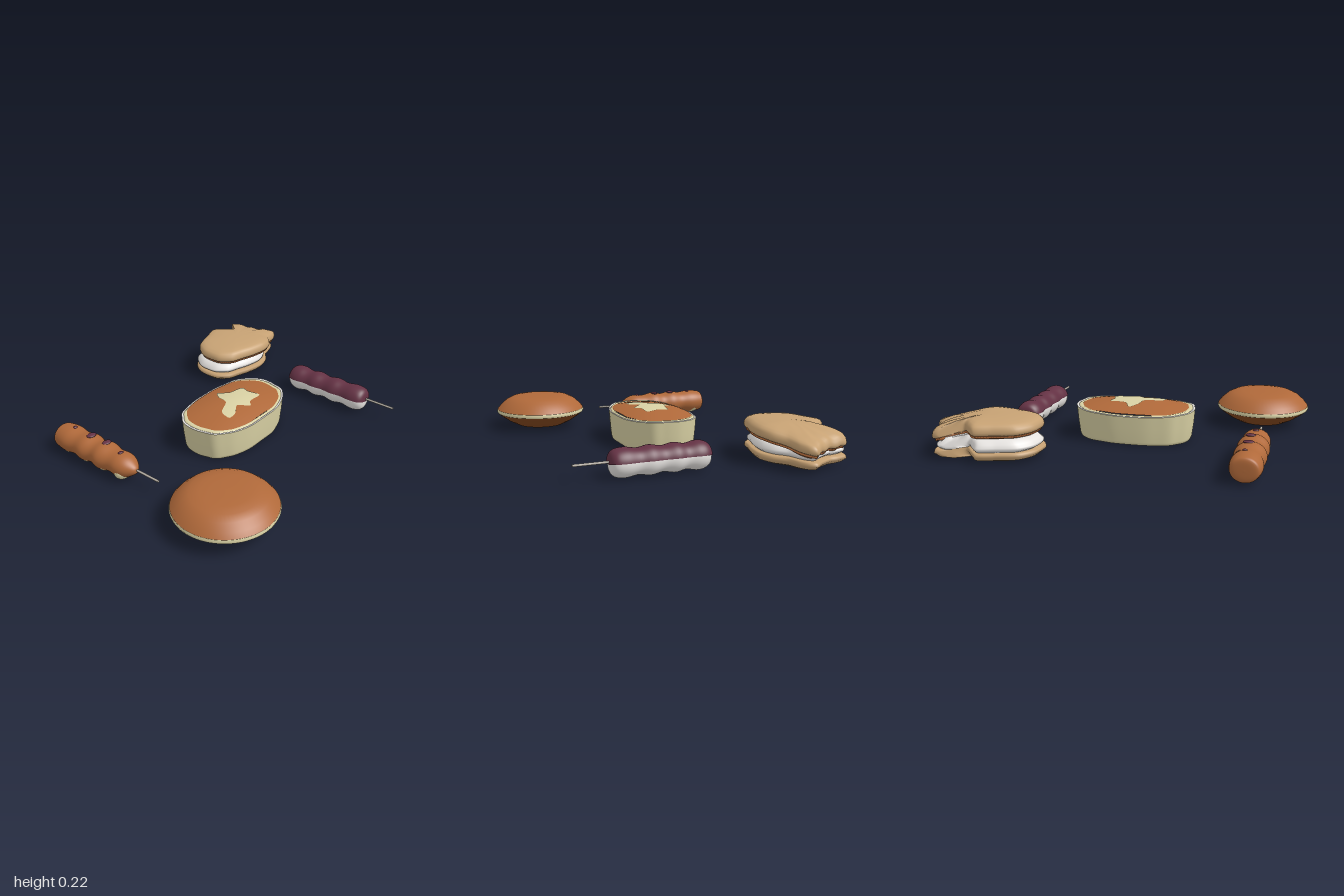
import * as THREE from 'three';
import { mergeVertices } from 'three/addons/utils/BufferGeometryUtils.js';

const mat = (name, color, side = THREE.FrontSide) => {
  const m = new THREE.MeshStandardMaterial({ color, side });
  m.name = name;
  return m;
};

// Closed smooth outline through [x, z] points, ordered so stacked rings face outward
function smoothOutline(points, n = 120) {
  const curve = new THREE.CatmullRomCurve3(points.map(([x, z]) => new THREE.Vector3(x, 0, z)), true, 'catmullrom', 0.4);
  const out = curve.getPoints(n).slice(0, n).map(p => new THREE.Vector2(p.x, p.z));
  return THREE.ShapeUtils.area(out) > 0 ? out.reverse() : out;
}

// Skin over copies of an outline, each level being [scale, y], from bottom to top
function ringStack(outline, levels, [cx, cz], deform) {
  const n = outline.length, pos = [], idx = [];
  levels.forEach(([s, y]) => outline.forEach(p => {
    const x = cx + (p.x - cx) * s, z = cz + (p.y - cz) * s;
    pos.push(x, deform ? deform(x, y, z) : y, z);
  }));
  for (let l = 0; l < levels.length - 1; l++) {
    for (let i = 0; i < n; i++) {
      const a = l * n + i, b = l * n + (i + 1) % n;
      idx.push(a, b, a + n, b, b + n, a + n);
    }
  }
  let g = new THREE.BufferGeometry();
  g.setAttribute('position', new THREE.Float32BufferAttribute(pos, 3));
  g.setIndex(idx);
  g = mergeVertices(g, 1e-5);
  g.computeVertexNormals();
  return g;
}

const profile = pts => pts.map(([r, y]) => new THREE.Vector2(r, y));

export function createModel() {
  const root = new THREE.Group();
  const brown = mat('toasted brown', 0xb0693a);
  const darkBrown = mat('deep brown', 0x86491f);
  const cream = mat('cream', 0xd9d1a4);
  const tan = mat('waffle tan', 0xc7a274);
  const white = mat('rice white', 0xe6e3e0);
  const maroon = mat('bean maroon', 0x643244, THREE.DoubleSide);
  const wood = mat('skewer grey', 0xb9b2a8);

  const group = name => {
    const g = new THREE.Group();
    g.name = name;
    root.add(g);
    return g;
  };
  const add = (parent, name, geo, material, x = 0, y = 0, z = 0) => {
    const m = new THREE.Mesh(geo, material);
    m.name = name;
    m.position.set(x, y, z);
    parent.add(m);
    return m;
  };

  // Round filled pancake
  const pancake = group('pancakeSandwich');
  [['lowerPancake', darkBrown, [[0, 0.01], [0.09, 0.012], [0.15, 0.024], [0.21, 0.055], [0.255, 0.087], [0.277, 0.106]]],
    ['pancakeEdge', cream, [[0.277, 0.106], [0.281, 0.116], [0.276, 0.128]]],
    ['upperPancake', brown, [[0.276, 0.128], [0.255, 0.153], [0.22, 0.184], [0.18, 0.203], [0.13, 0.211], [0.07, 0.214], [0, 0.215]]],
  ].forEach(([name, m, pts]) => add(pancake, name, new THREE.LatheGeometry(profile(pts), 64), m, -0.72, 0, 0.485));

  // Oval cake in a paper cup
  const cake = group('ovalCake');
  const C = [-0.032, -0.02], A = 0.352, B = 0.22, P = 2.5;
  const oval = [];
  for (let i = 0; i < 120; i++) {
    const t = i / 120 * Math.PI * 2, c = Math.cos(t), s = Math.sin(t);
    const k = 1 + 0.007 * Math.sin(t * 9) + 0.005 * Math.sin(t * 14 + 1);
    oval.push(new THREE.Vector2(
      C[0] + A * k * Math.sign(c) * Math.abs(c) ** (2 / P),
      C[1] - B * k * Math.sign(s) * Math.abs(s) ** (2 / P)));
  }
  const domeY = (x, z) => {
    const s = (Math.abs((x - C[0]) / A) ** P + Math.abs((z - C[1]) / B) ** P) ** (1 / P);
    return 0.182 + 0.041 * (1 - s * s);
  };
  const rimY = (x, y) => y + (y > 0.15 ? 0.012 * ((x - C[0]) / A) ** 2 : 0);
  add(cake, 'paperCup', ringStack(oval, [[0, 0.01], [0.86, 0.01], [0.93, 0.013], [0.95, 0.03], [0.98, 0.11], [1, 0.18]], C, rimY), cream);
  add(cake, 'paperRim', ringStack(oval, [[1, 0.18], [0.985, 0.185], [0.96, 0.181]], C, rimY), white);
  add(cake, 'cakeEdge', ringStack(oval, [[0.96, 0.181], [0.93, 0.188], [0.89, 0.186]], C, rimY), cream);
  add(cake, 'cakeTop', ringStack(oval, [0.915, 0.8, 0.65, 0.5, 0.35, 0.18, 0].map(s => [s, 0]), C,
    (x, y, z) => domeY(x, z) + 0.003), brown);

  // Pale splash on the cake top
  const splash = smoothOutline([[-0.025, -0.15], [0.015, -0.09], [0.11, -0.07], [0.1, -0.015], [0.115, 0.06], [0.02, 0.065],
    [-0.02, 0.095], [-0.075, 0.04], [-0.14, 0.08], [-0.195, 0.08], [-0.18, 0.015], [-0.09, -0.03], [-0.07, -0.1]]);
  add(cake, 'cakeSplash', ringStack(splash, [1, 0.8, 0.6, 0.4, 0.2, 0].map(s => [s, 0]), [-0.02, 0],
    (x, y, z) => domeY(x, z) + 0.007), cream);

  // Fish-shaped waffle sandwich
  const fish = group('fishWaffle');
  const F = [0.65, -0.55];
  const fishPts = [[1.0, -0.5], [0.98, -0.465], [0.93, -0.44], [0.85, -0.415], [0.78, -0.362], [0.69, -0.335], [0.58, -0.35],
    [0.5, -0.375], [0.42, -0.4], [0.362, -0.475], [0.367, -0.6], [0.43, -0.69], [0.55, -0.735], [0.645, -0.765],
    [0.7, -0.715], [0.752, -0.66], [0.81, -0.715], [0.86, -0.757], [0.9, -0.745], [0.92, -0.68], [0.925, -0.63], [0.965, -0.55]];
  const fishAt = (dx, dz) => smoothOutline(fishPts.map(([x, z]) => [x + dx, z + dz]), 160);
  const droop = (x, y, z) => {
    const t = THREE.MathUtils.smoothstep(x, 0.68, 1.0);
    return y - 0.05 * t + 0.004 * t * Math.sin((z + 0.5 * x) * 70);
  };
  add(fish, 'lowerShell', ringStack(fishAt(-0.015, -0.015),
    [[0, 0.01], [0.5, 0.011], [0.75, 0.016], [0.92, 0.03], [1, 0.05], [0.99, 0.064], [0.95, 0.072], [0.7, 0.075], [0, 0.075]], [F[0] - 0.015, F[1] - 0.015]), tan);
  add(fish, 'creamFilling', ringStack(fishAt(-0.02, -0.02),
    [[0, 0.07], [0.86, 0.07], [0.94, 0.085], [0.95, 0.1], [0.88, 0.115], [0.8, 0.14], [0, 0.15]], [F[0] - 0.02, F[1] - 0.02],
    (x, y, z) => y - (y > 0.1 ? 0.3 * (0.16 - droop(x, 0.16, z)) : 0)), white);
  add(fish, 'toastedInside', ringStack(fishAt(0, 0),
    [[0, 0.137], [0.85, 0.14], [0.945, 0.148], [0.945, 0.163], [0, 0.163]], F, droop), brown);
  add(fish, 'upperShell', ringStack(fishAt(0, 0),
    [[0, 0.16], [0.95, 0.16], [0.99, 0.166], [1, 0.18], [0.985, 0.198], [0.94, 0.212], [0.85, 0.221], [0.7, 0.227], [0.4, 0.231], [0, 0.232]], F, droop), tan);

  // Lumpy dumpling row lying along z
  const dumplings = (pts, phi0, len) => {
    const curve = new THREE.SplineCurve(profile(pts));
    const smooth = curve.getPoints(70).map(p => new THREE.Vector2(Math.max(p.x, 0), p.y));
    return new THREE.LatheGeometry(smooth, 40, phi0, len).rotateX(Math.PI / 2);
  };
  const stick = (parent, x, y, z0, z1) =>
    add(parent, 'skewerStick', new THREE.CylinderGeometry(0.007, 0.007, z1 - z0, 10).rotateX(Math.PI / 2), wood, x, y, (z0 + z1) / 2);

  // Bean-topped skewer
  const beanSkewer = group('beanSkewer');
  const beanPts = [[0, -0.067], [0.05, -0.06], [0.072, -0.03], [0.077, 0.01], [0.067, 0.07], [0.077, 0.13], [0.067, 0.197],
    [0.077, 0.265], [0.068, 0.33], [0.077, 0.4], [0.07, 0.45], [0.045, 0.475], [0, 0.48]];
  add(beanSkewer, 'riceDumplings', dumplings(beanPts, 0, Math.PI * 2), white, 0.652, 0.087, 0);
  add(beanSkewer, 'beanPaste', dumplings(beanPts.map(([r, z]) => [r * 1.06, z < 0 ? z - 0.004 : z + 0.004 * (z > 0.4)]),
    Math.PI * 0.56, Math.PI * 0.88), maroon, 0.652, 0.084, 0);
  stick(beanSkewer, 0.655, 0.098, 0.4, 0.67);

  // Glazed skewer
  const glazed = group('glazedSkewer');
  const glazePts = [[0, -0.695], [0.065, -0.69], [0.08, -0.66], [0.086, -0.6], [0.077, -0.53], [0.088, -0.46], [0.075, -0.395],
    [0.088, -0.33], [0.073, -0.26], [0.077, -0.195], [0.062, -0.145], [0.025, -0.1], [0, -0.09]];
  const gx = -0.765, gy = 0.088;
  const glaze = add(glazed, 'glazedDumplings', dumplings(glazePts, 0, Math.PI * 2), brown, gx, gy, 0);
  glaze.scale.y = 0.88;
  [-0.61, -0.46, -0.325, -0.195].forEach((z, i) => {
    const base = add(glazed, 'bareDumplingBase', new THREE.SphereGeometry(1, 24, 16), cream, gx, gy - 0.024, z);
    base.scale.set(0.078, 0.056, 0.052);
    base.rotation.y = 0.35;
    // Dark drop on top of each dumpling
    const drop = add(glazed, 'beanDrop', new THREE.SphereGeometry(1, 16, 10), maroon, gx + [0.012, 0.012, 0.016, 0.003][i], gy + [0.073, 0.075, 0.075, 0.065][i], [-0.59, -0.455, -0.335, -0.212][i]);
    const s = [0.014, 0.03, 0.028, 0.017][i];
    drop.scale.set(s, 0.008, s * 0.75);
  });
  stick(glazed, -0.762, 0.09, -0.16, 0.065);

  return root;
}
